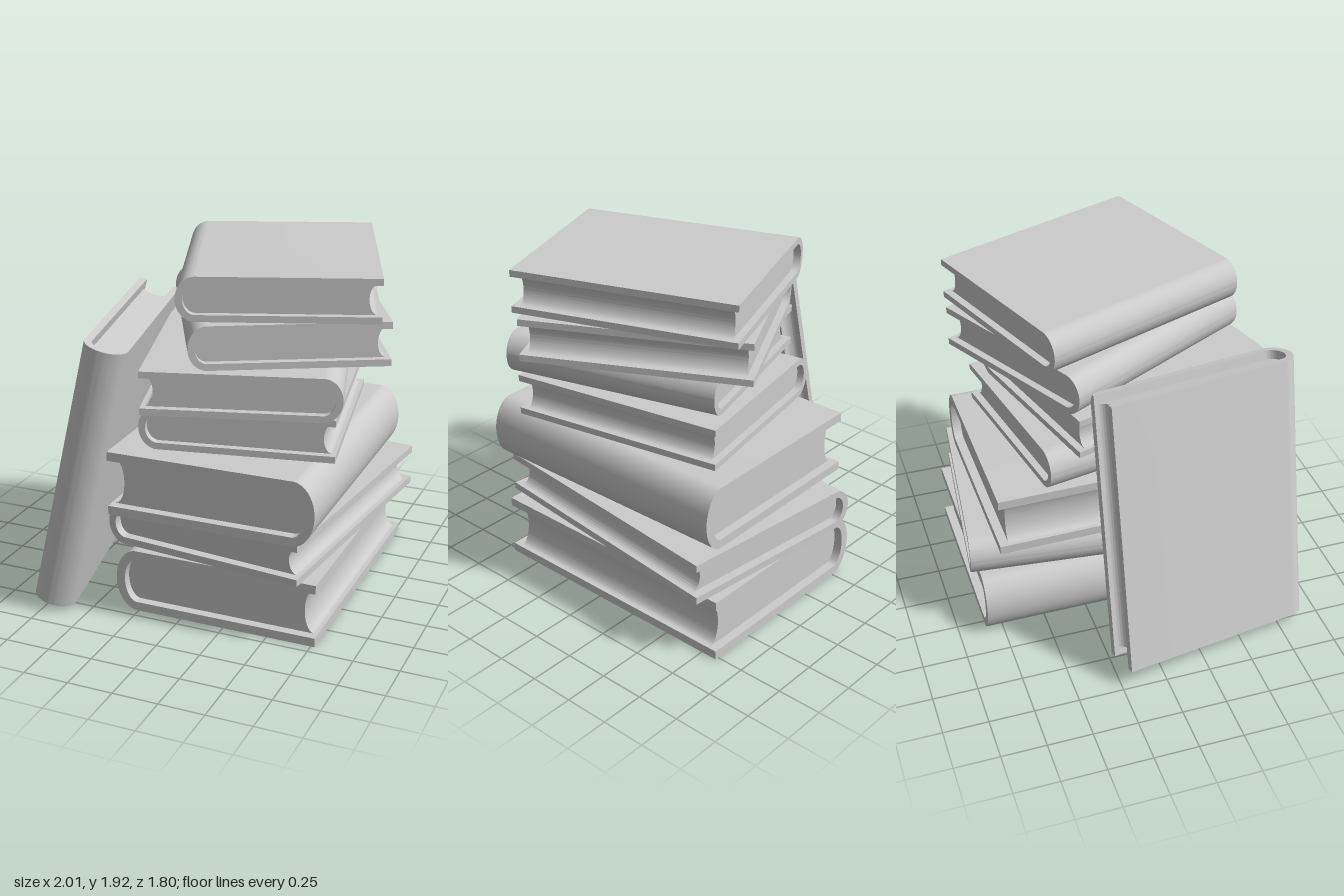
import * as THREE from 'three';
import { toCreasedNormals } from 'three/addons/utils/BufferGeometryUtils.js';

const material = new THREE.MeshStandardMaterial({ color: 0xcccccc });

// Extrude a profile along z, centred, with smooth curves and sharp edges
function slab(shape, length, name) {
  const geometry = new THREE.ExtrudeGeometry(shape, {
    depth: length, bevelEnabled: false, curveSegments: 20,
  });
  geometry.translate(0, 0, -length / 2);
  const mesh = new THREE.Mesh(toCreasedNormals(geometry, 0.6), material);
  mesh.name = name;
  return mesh;
}

// Closed book lying flat: spine at -x, fore edge at +x, height along z
function makeBook(name, { w, l, t, board, round, hollow, inset }) {
  const book = new THREE.Group();
  book.name = name;
  const h = t / 2, hi = h - board;
  const back = -w / 2 + round, front = w / 2;
  const q = Math.PI / 2;

  // Cover: two boards joined by a rounded spine
  const cover = new THREE.Shape();
  cover.moveTo(front, h);
  cover.lineTo(back, h);
  cover.absellipse(back, 0, round, h, q, 3 * q, false);
  cover.lineTo(front, -h);
  cover.lineTo(front, -hi);
  cover.lineTo(back, -hi);
  cover.absellipse(back, 0, round - board, hi, 3 * q, q, true);
  cover.lineTo(front, hi);
  cover.closePath();

  // Pages: rounded back against the spine, concave fore edge
  const edge = front - 0.02;
  const pages = new THREE.Shape();
  pages.moveTo(edge, hi);
  pages.lineTo(back, hi);
  pages.absellipse(back, 0, round - board, hi, q, 3 * q, false);
  pages.lineTo(edge, -hi);
  pages.absellipse(edge, 0, hollow, hi, 3 * q, q, true);

  book.add(slab(cover, l, 'cover'), slab(pages, l - 2 * inset, 'pages'));
  return book;
}

const thick = { w: 1.15, l: 1.54, t: 0.358, board: 0.05, round: 0.12, hollow: 0.055, inset: 0.05 };
const wide = { w: 1.14, l: 1.54, t: 0.235, board: 0.04, round: 0.1, hollow: 0.05, inset: 0.05 };
const small = { w: 1.03, l: 1.215, t: 0.233, board: 0.036, round: 0.1, hollow: 0.045, inset: 0.04 };

export function createModel() {
  const model = new THREE.Group();
  model.name = 'bookPile';

  // Stack from the bottom: size, x, bottom y, z, turn in degrees
  const stack = [
    [thick, 0.195, 0, -0.075, 0],
    [wide, 0.2, 0.361, -0.075, -6.1],
    [thick, 0.195, 0.598, 0.01, 180.8],
    [small, 0.18, 0.98, 0.03, 10.8],
    [small, 0.185, 1.215, 0.12, 195.9],
    [small, 0.265, 1.452, -0.018, 27.5],
    [small, 0.275, 1.688, -0.035, 20.2],
  ];
  stack.forEach(([size, x, y, z, turn], i) => {
    const book = makeBook(`stackedBook${i + 1}`, size);
    book.position.set(x, y + size.t / 2, z);
    book.rotation.y = THREE.MathUtils.degToRad(turn);
    model.add(book);
  });

  // Book standing on end, leaning against the stack with its spine forward
  const leaning = makeBook('leaningBook', wide);
  const up = new THREE.Vector3(0.235, 0.972, 0).normalize();
  const spine = new THREE.Vector3(0.18, -0.0435, 0.983).normalize();
  const side = new THREE.Vector3().crossVectors(up, spine);
  const x = spine.clone().negate();
  leaning.quaternion.setFromRotationMatrix(
    new THREE.Matrix4().makeBasis(x, new THREE.Vector3().crossVectors(up, x), up));
  leaning.position.set(-0.61, 0.82, 0.335).addScaledVector(side, 0.002);
  model.add(leaning);

  return model;
}
